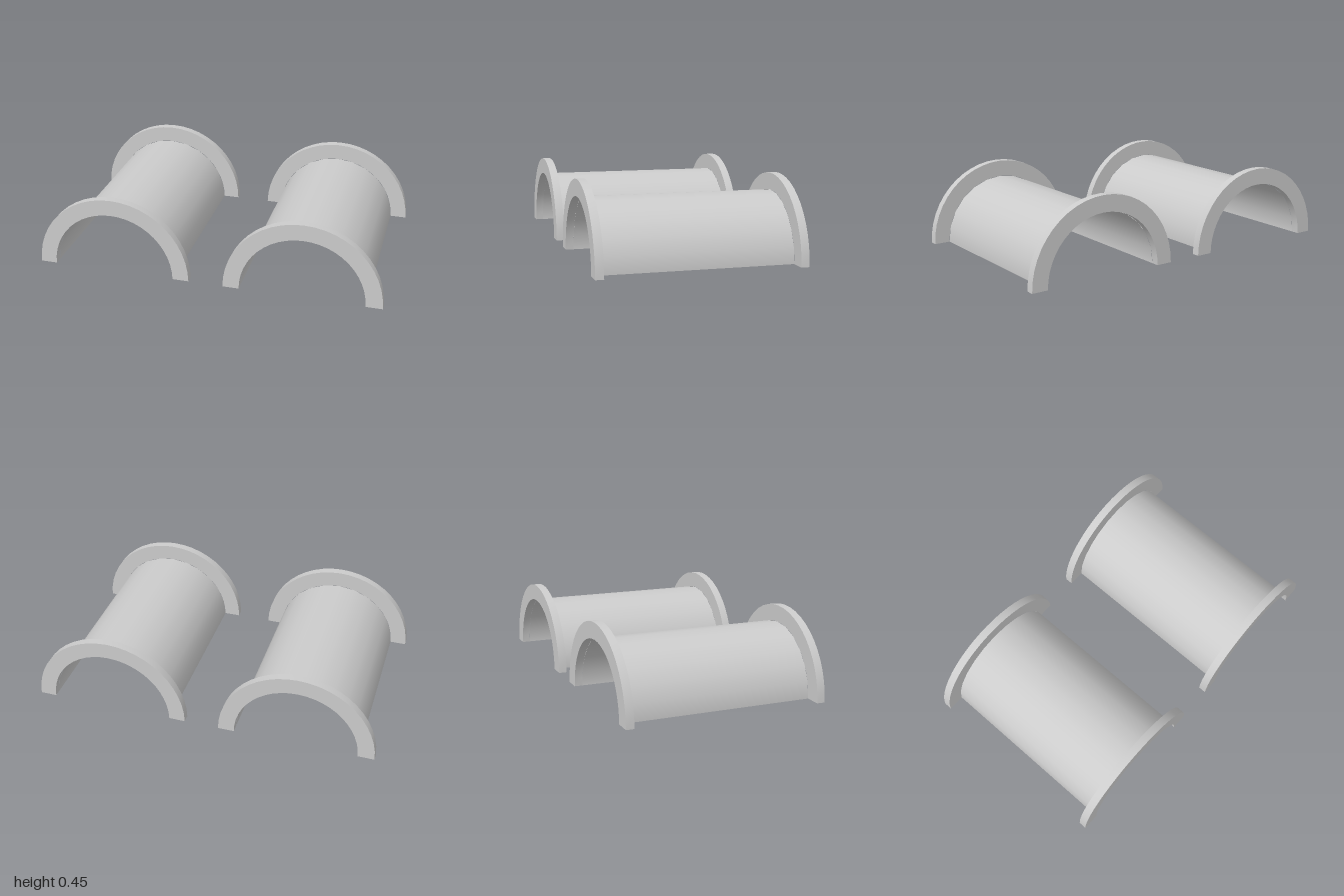
import * as THREE from 'three';
import { toCreasedNormals } from 'three/addons/utils/BufferGeometryUtils.js';

const OUTER = 0.45;    // flange radius
const BORE = 0.356;    // shell radius
const HALF = 0.575;    // half of the full length
const THICK = 0.046;   // flange thickness
const SEGMENTS = 12;   // facets per half circle

// Half-ring plate, smooth around the arc and sharp at its edges
function flangeGeometry() {
  const shape = new THREE.Shape();
  shape.absarc(0, 0, OUTER, 0, Math.PI, false);
  shape.absarc(0, 0, BORE, Math.PI, 0, true);
  shape.closePath();
  const geometry = new THREE.ExtrudeGeometry(shape, {
    depth: THICK, bevelEnabled: false, curveSegments: SEGMENTS,
  });
  return toCreasedNormals(geometry, Math.PI / 5);
}

// Thin half-pipe between the flanges, open side down
function shellGeometry() {
  const length = 2 * (HALF - THICK);
  const geometry = new THREE.CylinderGeometry(
    BORE, BORE, length, SEGMENTS, 1, true, Math.PI / 2, Math.PI);
  return geometry.rotateX(Math.PI / 2);
}

export function createModel() {
  const model = new THREE.Group();
  model.name = 'flangedHalfPipes';
  const solid = new THREE.MeshStandardMaterial({ color: 0xcccccc });
  const thin = new THREE.MeshStandardMaterial({ color: 0xcccccc, side: THREE.DoubleSide });
  const flange = flangeGeometry();
  const shell = shellGeometry();

  for (const [side, x] of [['left', 0.55], ['right', -0.55]]) {
    const half = new THREE.Group();
    half.name = `${side}HalfPipe`;
    half.position.x = x;

    const pipe = new THREE.Mesh(shell, thin);
    pipe.name = `${side}Shell`;
    half.add(pipe);

    // One flange at each end
    for (const [end, z] of [['Front', HALF - THICK], ['Back', -HALF]]) {
      const plate = new THREE.Mesh(flange, solid);
      plate.name = `${side}${end}Flange`;
      plate.position.z = z;
      half.add(plate);
    }
    model.add(half);
  }
  return model;
}
